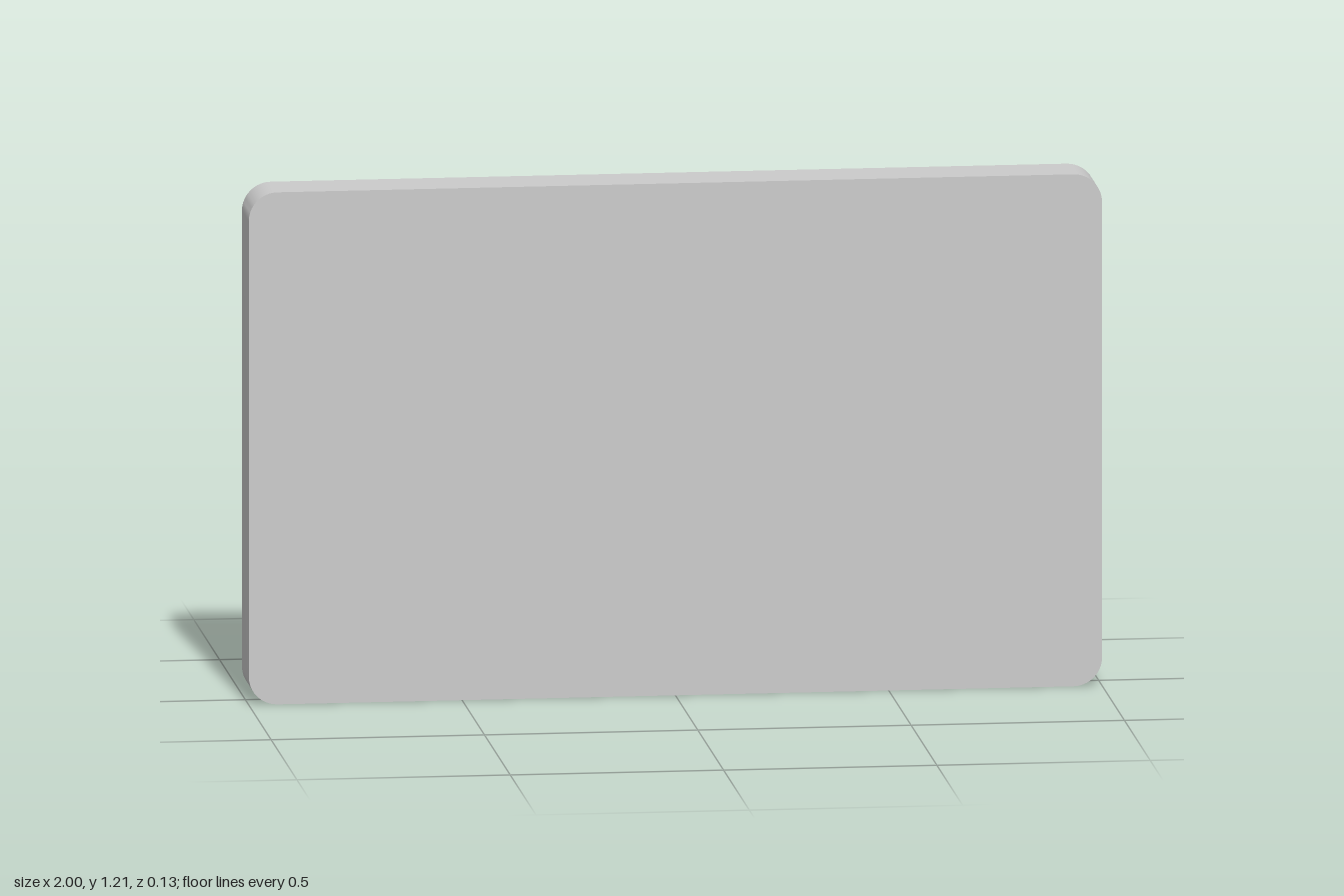
import * as THREE from 'three';
import { mergeGeometries, toCreasedNormals } from 'three/addons/utils/BufferGeometryUtils.js';

const W = 2, H = 1.213, D = 0.133; // overall size
const R = 0.067;                   // outer corner radius
const WALL = 0.033;                // wall and front panel thickness

// Counter-clockwise outline with rounded corners
function roundedOutline(w, h, r, steps = 10) {
  const pts = [];
  [[1, 1], [-1, 1], [-1, -1], [1, -1]].forEach(([sx, sy], k) => {
    for (let i = 0; i <= steps; i++) {
      const a = (k + i / steps) * Math.PI / 2;
      pts.push(new THREE.Vector2(
        sx * (w / 2 - r) + r * Math.cos(a), sy * (h / 2 - r) + r * Math.sin(a)));
    }
  });
  return pts;
}

// Band of wall following an outline from z0 to z1
function band(pts, z0, z1) {
  const pos = [];
  pts.forEach((p, i) => {
    const q = pts[(i + 1) % pts.length];
    pos.push(p.x, p.y, z0, q.x, q.y, z0, q.x, q.y, z1);
    pos.push(p.x, p.y, z0, q.x, q.y, z1, p.x, p.y, z1);
  });
  const g = new THREE.BufferGeometry();
  g.setAttribute('position', new THREE.Float32BufferAttribute(pos, 3));
  return toCreasedNormals(g, Math.PI / 6);
}

// Flat face; facing back when flipped
function face(shape, z, flip) {
  const g = new THREE.ShapeGeometry(shape).toNonIndexed();
  g.deleteAttribute('uv');
  if (flip) g.rotateY(Math.PI);
  return g.translate(0, 0, z);
}

export function createModel() {
  const group = new THREE.Group();
  group.name = 'tray';
  const material = new THREE.MeshStandardMaterial({ color: 0xcccccc });
  const add = (name, parts) => {
    const mesh = new THREE.Mesh(mergeGeometries(parts), material);
    mesh.name = name;
    mesh.position.y = H / 2;
    group.add(mesh);
  };

  const outer = roundedOutline(W, H, R);
  const x = W / 2 - WALL, y = H / 2 - WALL;
  const inner = [[x, y], [x, -y], [-x, -y], [-x, y]].map(p => new THREE.Vector2(...p));
  const front = D / 2, back = -D / 2, floor = front - WALL;

  // Solid front and the recess floor behind it
  add('frontPanel', [
    face(new THREE.Shape(outer), front, false),
    face(new THREE.Shape(inner), floor, true),
  ]);

  // Rounded outside, square-cornered inside and the back edge between them
  const rim = new THREE.Shape(outer);
  rim.holes.push(new THREE.Path(inner));
  add('sideWall', [
    band(outer, back, front),
    band(inner, back, floor),
    face(rim, back, true),
  ]);
  return group;
}
